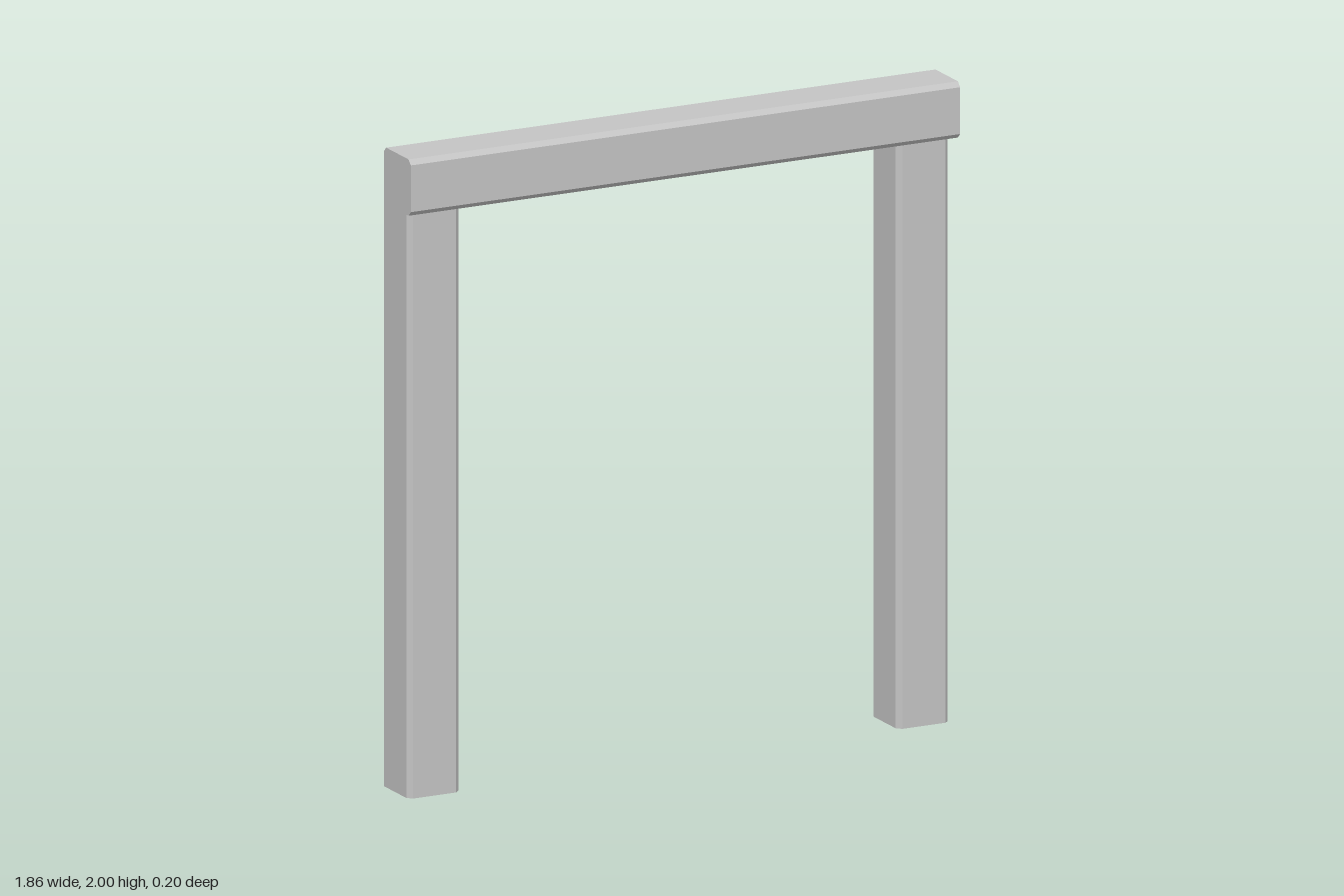
import * as THREE from 'three';

const SIZE = 0.176;    // square timber section
const CHAMFER = 0.015; // bevel along the long edges

// Square timber with chamfered long edges, running along z and centred
function timber(length) {
  const h = SIZE / 2, c = h - CHAMFER;
  const section = new THREE.Shape([
    [c, -h], [h, -c], [h, c], [c, h], [-c, h], [-h, c], [-h, -c], [-c, -h],
  ].map(([x, y]) => new THREE.Vector2(x, y)));
  return new THREE.ExtrudeGeometry(section, { depth: length, bevelEnabled: false })
    .translate(0, 0, -length / 2);
}

export function createModel() {
  const group = new THREE.Group();
  const grey = new THREE.MeshStandardMaterial({ color: 0xc4c4c4 });
  grey.name = 'light grey';

  // Two upright posts, slightly let into the beam and set back from it
  const postHeight = 1.857;
  const postGeometry = timber(postHeight).rotateX(-Math.PI / 2);
  for (const [name, x] of [['rightPost', -0.839], ['leftPost', 0.818]]) {
    const post = new THREE.Mesh(postGeometry, grey);
    post.name = name;
    post.position.set(x, postHeight / 2, -0.01);
    group.add(post);
  }

  // Beam across the top
  const beam = new THREE.Mesh(timber(1.86).rotateY(Math.PI / 2), grey);
  beam.name = 'topBeam';
  beam.position.set(0, 2 - SIZE / 2, 0.01);
  group.add(beam);

  return group;
}
